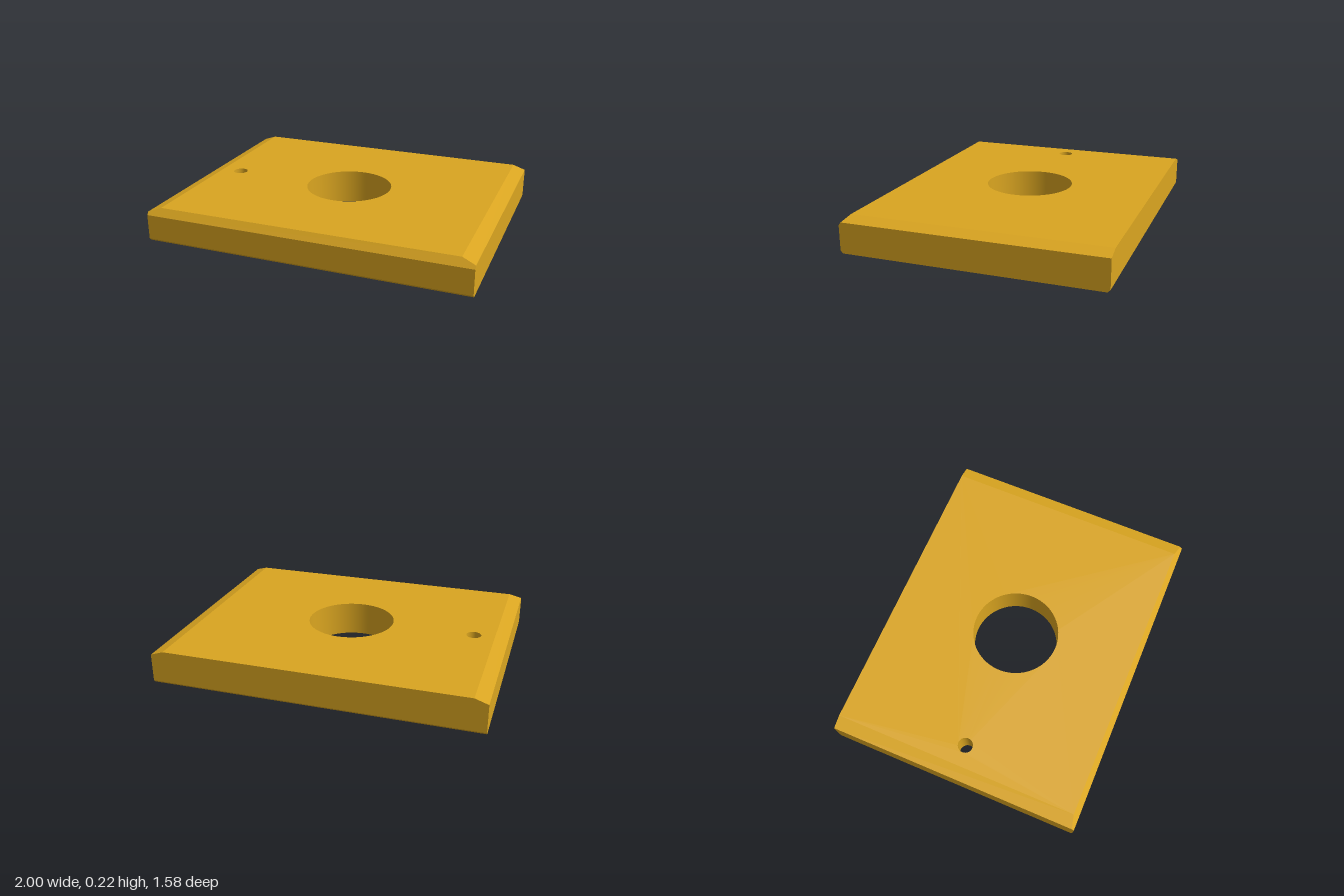
import * as THREE from 'three';

const W = 1, D = 0.79, H = 0.215;           // half width, half depth, height
const TOP_X = 0.92, TOP_Z = 0.755;          // top face limits inside the chamfers
const SIDE_Y = 0.188, FRONT_Y = 0.17;       // heights where the top chamfers start
const CORNER_Z = D - (D - TOP_Z) * (SIDE_Y - FRONT_Y) / (H - FRONT_Y);
const LIP = 0.016;                          // small chamfer under the front and back edges
const HOLES = [
  { name: 'centreBore', x: 0, r: 0.271, segments: 96 },
  { name: 'pinHole', x: -0.79, r: 0.046, segments: 48 },
];

// Flat-shaded shell from convex polygons, each wound to face away from the plate's middle
function shell(polygons) {
  const middle = new THREE.Vector3(0, H / 2, 0);
  const positions = [];
  for (const polygon of polygons) {
    const p = polygon.map((c) => new THREE.Vector3(...c));
    const normal = p[1].clone().sub(p[0]).cross(p[2].clone().sub(p[0]));
    if (normal.dot(p[0].clone().sub(middle)) < 0) p.reverse();
    for (let i = 1; i < p.length - 1; i++) {
      for (const v of [p[0], p[i], p[i + 1]]) positions.push(v.x, v.y, v.z);
    }
  }
  const geometry = new THREE.BufferGeometry();
  geometry.setAttribute('position', new THREE.Float32BufferAttribute(positions, 3));
  geometry.computeVertexNormals();
  return geometry;
}

// Horizontal face with the holes cut out; up = 1 faces upward, -1 downward
function piercedFace(halfX, zBack, zFront, y, up) {
  const shape = new THREE.Shape([
    [-halfX, -up * zFront], [halfX, -up * zFront], [halfX, -up * zBack], [-halfX, -up * zBack],
  ].map(([x, v]) => new THREE.Vector2(x, v)));
  for (const h of HOLES) {
    const points = [];
    for (let i = 0; i < h.segments; i++) {
      const a = i / h.segments * Math.PI * 2;
      points.push(new THREE.Vector2(h.x + h.r * Math.sin(a), h.r * Math.cos(a)));
    }
    shape.holes.push(new THREE.Path(points));
  }
  return new THREE.ShapeGeometry(shape).rotateX(-up * Math.PI / 2).translate(0, y, 0);
}

export function createModel() {
  const group = new THREE.Group();
  group.name = 'piercedPlate';
  const material = new THREE.MeshStandardMaterial({ color: 0xdaa520 });
  const boreMaterial = new THREE.MeshStandardMaterial({ color: 0xdaa520, side: THREE.DoubleSide });
  const add = (name, geometry, mat = material) => {
    const mesh = new THREE.Mesh(geometry, mat);
    mesh.name = name;
    group.add(mesh);
  };

  // Top and bottom faces
  add('topFace', piercedFace(TOP_X, -D, TOP_Z, H, 1));
  add('bottomFace', piercedFace(W, LIP - D, D - LIP, 0, -1));

  // Left and right ends with their sloped top chamfers
  for (const [side, s] of [['left', 1], ['right', -1]]) {
    const x = s * W;
    add(side + 'End', shell([[
      [x, 0, D - LIP], [x, LIP, D], [x, FRONT_Y, D], [x, SIDE_Y, CORNER_Z],
      [x, SIDE_Y, -D], [x, LIP, -D], [x, 0, LIP - D],
    ]]));
    add(side + 'Chamfer', shell([[
      [x, SIDE_Y, CORNER_Z], [x, SIDE_Y, -D], [s * TOP_X, H, -D], [s * TOP_X, H, TOP_Z],
    ]]));
  }

  // Front wall, front top chamfer and square-topped back wall
  add('frontWall', shell([[[-W, LIP, D], [W, LIP, D], [W, FRONT_Y, D], [-W, FRONT_Y, D]]]));
  add('frontChamfer', shell([[
    [-W, FRONT_Y, D], [W, FRONT_Y, D], [W, SIDE_Y, CORNER_Z],
    [TOP_X, H, TOP_Z], [-TOP_X, H, TOP_Z], [-W, SIDE_Y, CORNER_Z],
  ]]));
  add('backWall', shell([[
    [-W, LIP, -D], [W, LIP, -D], [W, SIDE_Y, -D], [TOP_X, H, -D], [-TOP_X, H, -D], [-W, SIDE_Y, -D],
  ]]));

  // Small chamfers along the lower front and back edges
  add('lowerChamfers', shell([1, -1].map((s) => [
    [-W, 0, s * (D - LIP)], [W, 0, s * (D - LIP)], [W, LIP, s * D], [-W, LIP, s * D],
  ])));

  // Smooth walls of the through holes
  for (const h of HOLES) {
    add(h.name, new THREE.CylinderGeometry(h.r, h.r, H, h.segments, 1, true).translate(h.x, H / 2, 0), boreMaterial);
  }
  return group;
}
